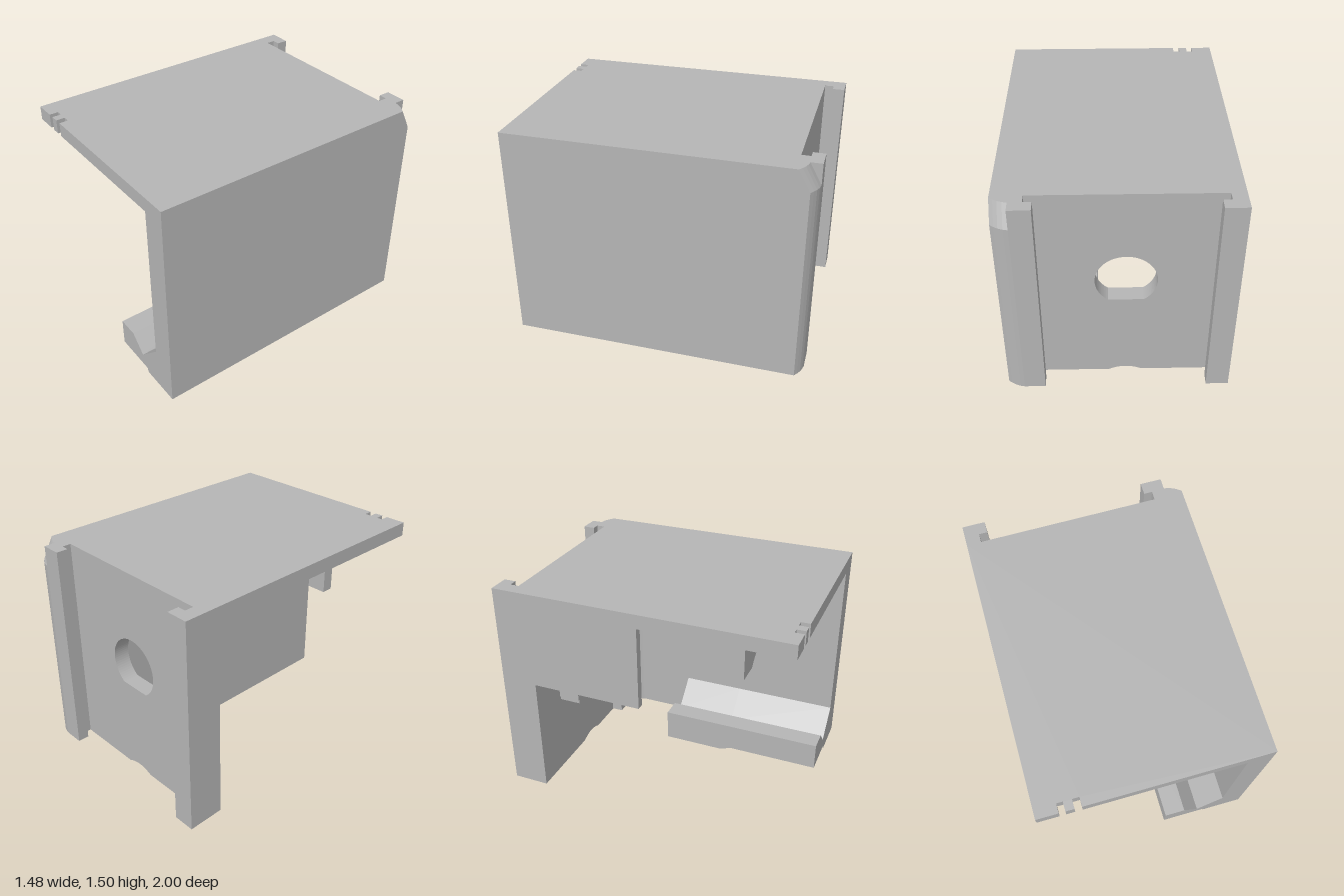
import * as THREE from 'three';

export function createModel() {
  const model = new THREE.Group();
  model.name = 'housingBracket';
  const grey = new THREE.MeshStandardMaterial({ color: 0xb5b5b5 });
  grey.name = 'grey plastic';

  const add = (name, geometry) => {
    const mesh = new THREE.Mesh(geometry, grey);
    mesh.name = name;
    model.add(mesh);
    return mesh;
  };
  const box = (name, x0, x1, y0, y1, z0, z1) => {
    const g = new THREE.BoxGeometry(x1 - x0, y1 - y0, z1 - z0);
    g.translate((x0 + x1) / 2, (y0 + y1) / 2, (z0 + z1) / 2);
    return add(name, g);
  };
  const polygon = (pts) => new THREE.Shape(pts.map(([x, y]) => new THREE.Vector2(x, y)));
  const extrude = (shape, depth) =>
    new THREE.ExtrudeGeometry(shape, { depth, bevelEnabled: false, curveSegments: 32 });
  // outline in x/y, pushed along z
  const alongZ = (name, shape, z0, z1) => add(name, extrude(shape, z1 - z0).translate(0, 0, z0));
  // outline in x/z, pushed along y
  const alongY = (name, pts, y0, y1) => {
    const shape = polygon(pts.map(([x, z]) => [x, -z]));
    return add(name, extrude(shape, y1 - y0).rotateX(-Math.PI / 2).translate(0, y0, 0));
  };

  const cx = -0.05, cy = 0.827;

  // Roof with two small slots in the front edge
  alongY('roof', [
    [-0.74, -0.86], [-0.74, 1], [-0.6, 1], [-0.6, 0.94], [-0.56, 0.94], [-0.56, 1],
    [-0.505, 1], [-0.505, 0.94], [-0.46, 0.94], [-0.46, 1], [0.74, 1], [0.74, -0.86],
  ], 1.405, 1.5);

  // Solid side wall
  box('sideWall', 0.57, 0.74, 0, 1.405, -0.86, 1);

  // Back wall with teardrop opening and a shallow notch at the bottom
  const back = new THREE.Shape();
  back.moveTo(-0.74, 0);
  back.lineTo(-0.16, 0);
  back.quadraticCurveTo(cx, 0.056, 0.06, 0);
  back.lineTo(0.57, 0);
  back.lineTo(0.57, 1.405);
  back.lineTo(-0.74, 1.405);
  back.closePath();
  const hole = new THREE.Path();
  const tip = Math.acos(0.198 / 0.242);
  hole.moveTo(cx, cy - 0.242);
  hole.absarc(cx, cy, 0.198, -Math.PI / 2 + tip, Math.PI * 1.5 - tip, false);
  hole.closePath();
  back.holes.push(hole);
  alongZ('backWall', back, -0.86, -0.75);

  // Hooked guide rails on the back
  alongY('rightRail', [
    [-0.74, -1], [-0.74, -0.86], [-0.645, -0.86], [-0.645, -0.92], [-0.59, -0.92], [-0.59, -1],
  ], 0, 1.5);
  alongY('leftRail', [
    [0.49, -1], [0.49, -0.92], [0.545, -0.92], [0.545, -0.86], [0.63, -0.86], [0.63, -1],
  ], 0, 1.5);

  // Rounded outer corner, its top leaning forward
  const curve = [[0.63, -1], [0.66, -0.994], [0.69, -0.983], [0.715, -0.968], [0.74, -0.95]];
  const outline = [...curve, [0.74, -0.86], [0.63, -0.86]];
  alongY('roundedCorner', outline, 0, 1.36);
  const lean = extrude(polygon(outline.map(([x, z]) => [x, -z])), 0.14)
    .rotateX(-Math.PI / 2).translate(0, 1.36, 0);
  const p = lean.attributes.position;
  for (let i = 0; i < p.count; i++) {
    if (p.getY(i) > 1.4 && p.getZ(i) < -0.9) p.setZ(i, p.getZ(i) + 0.075);
  }
  lean.computeVertexNormals();
  add('cornerTop', lean);

  // Inner fillet between back wall and side wall
  const fillet = [[0.33, -0.75], [0.33, -0.67], [0.45, -0.67]];
  for (let i = 1; i <= 8; i++) {
    const a = (i / 8) * Math.PI / 2;
    fillet.push([0.45 + 0.12 * Math.sin(a), -0.55 - 0.12 * Math.cos(a)]);
  }
  fillet.push([0.57, -0.75]);
  alongY('innerFillet', fillet, 0, 1.405);

  // Short side panel under the roof
  box('sidePanel', -0.74, -0.69, 0.835, 1.405, -0.75, 0.01);

  // Hanging front rib with an arched cut
  const half = 0.24, r = 0.31;
  const a0 = Math.asin((1.025 - cy) / r);
  const rib = new THREE.Shape();
  rib.moveTo(-0.455, 1.405);
  rib.lineTo(-0.455, 1.025);
  rib.lineTo(cx - half, 1.025);
  rib.absarc(cx, cy, r, Math.PI - a0, a0, true);
  rib.lineTo(0.355, 1.025);
  rib.lineTo(0.355, 1.405);
  rib.closePath();
  alongZ('archedRib', rib, 0.53, 0.61);

  // Vertical ribs on the inside of the back wall, with stepped ends
  for (const [x0, x1] of [[-0.455, -0.37], [0.27, 0.355]]) {
    box('innerRib', x0, x1, 0.58, 1.405, -0.75, -0.6);
    box('innerRibTip', x0 + 0.01, x1 - 0.015, 0.55, 0.58, -0.75, -0.6);
  }

  // Foot with a V groove; its front underside is recessed
  const top = [[0.57, 0.295], [0.39, 0.115], [0.28, 0.225], [0.135, 0.225]];
  alongZ('footRear', polygon([[0.135, 0], [0.57, 0], ...top]), -0.17, 0.27);
  alongZ('footFront', polygon([[0.135, 0.03], [0.44, 0.03], [0.45, 0], [0.57, 0], ...top]), 0.27, 1);
  const ramp = extrude(polygon([[-0.27, 0], [-0.27, 0.03], [-0.35, 0.03]]), 0.31);
  add('footRamp', ramp.rotateY(Math.PI / 2).translate(0.135, 0, 0));

  return model;
}
